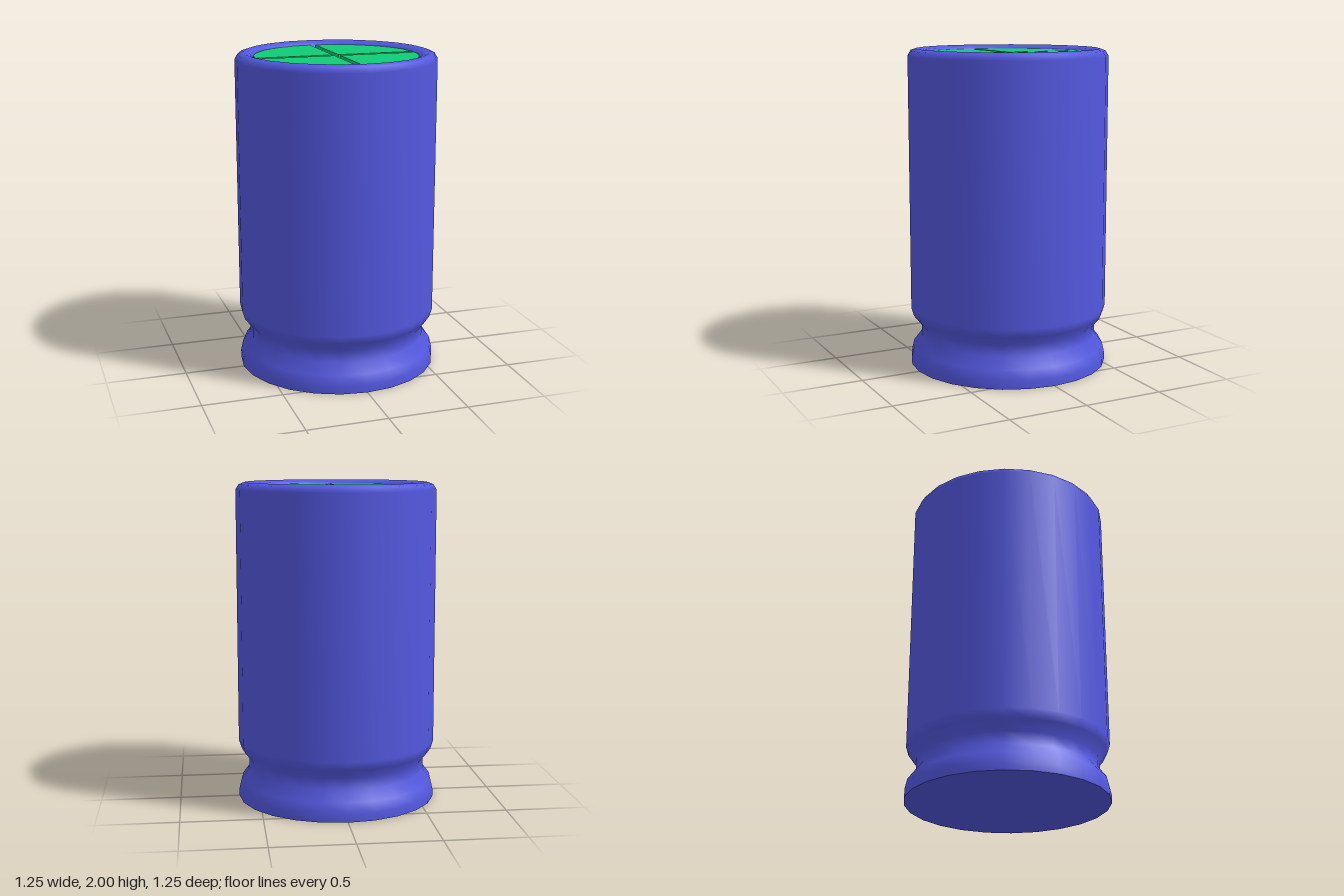
import * as THREE from 'three';

const SIDES = 24;
const LID_RADIUS = 0.51, LID_TOP = 1.975, GROOVE_DEPTH = 0.025, GROOVE_HALF = 0.018;

export function createModel() {
  const group = new THREE.Group();
  const blue = new THREE.MeshStandardMaterial({ color: 0x5358e0 });
  const green = new THREE.MeshStandardMaterial({ color: 0x0fcc74 });

  const add = (name, geometry, material) => {
    const mesh = new THREE.Mesh(geometry, material);
    mesh.name = name;
    group.add(mesh);
    return mesh;
  };

  // Sleeve: foot bulge, crimped neck, straight can and rolled rim
  const profile = [
    [0.625, 0], [0.625, 0.05], [0.61, 0.115], [0.56, 0.18],
    [0.56, 0.255], [0.608, 0.315], [0.625, 0.37],
    [0.625, 1.955], [0.605, 1.988], [0.57, 2], [0.53, 1.988], [0.51, 1.965], [0.51, 1.94],
  ].map(([r, y]) => new THREE.Vector2(r, y));
  add('sleeve', new THREE.LatheGeometry(profile, SIDES), blue);

  // Flat underside
  add('base', new THREE.CircleGeometry(0.625, SIDES).rotateX(Math.PI / 2), blue);

  // Floor of the cross-shaped groove
  const floor = add('grooveFloor', new THREE.CircleGeometry(LID_RADIUS, SIDES).rotateX(-Math.PI / 2), green);
  floor.position.y = LID_TOP - GROOVE_DEPTH;

  // Four raised lid quarters, leaving the groove between them
  const edge = LID_RADIUS - GROOVE_HALF * Math.tan(Math.PI / SIDES);
  const shape = new THREE.Shape();
  shape.moveTo(GROOVE_HALF, GROOVE_HALF);
  shape.lineTo(edge, GROOVE_HALF);
  for (let i = 1; i < SIDES / 4; i++) {
    const a = (i / SIDES) * Math.PI * 2;
    shape.lineTo(LID_RADIUS * Math.cos(a), LID_RADIUS * Math.sin(a));
  }
  shape.lineTo(GROOVE_HALF, edge);
  shape.closePath();
  const quarter = new THREE.ExtrudeGeometry(shape, { depth: GROOVE_DEPTH, bevelEnabled: false });
  quarter.rotateX(-Math.PI / 2);
  for (let i = 0; i < 4; i++) {
    const mesh = add('lidQuarter' + (i + 1), quarter, green);
    mesh.position.y = LID_TOP - GROOVE_DEPTH;
    mesh.rotation.y = (i * Math.PI) / 2;
  }

  return group;
}
